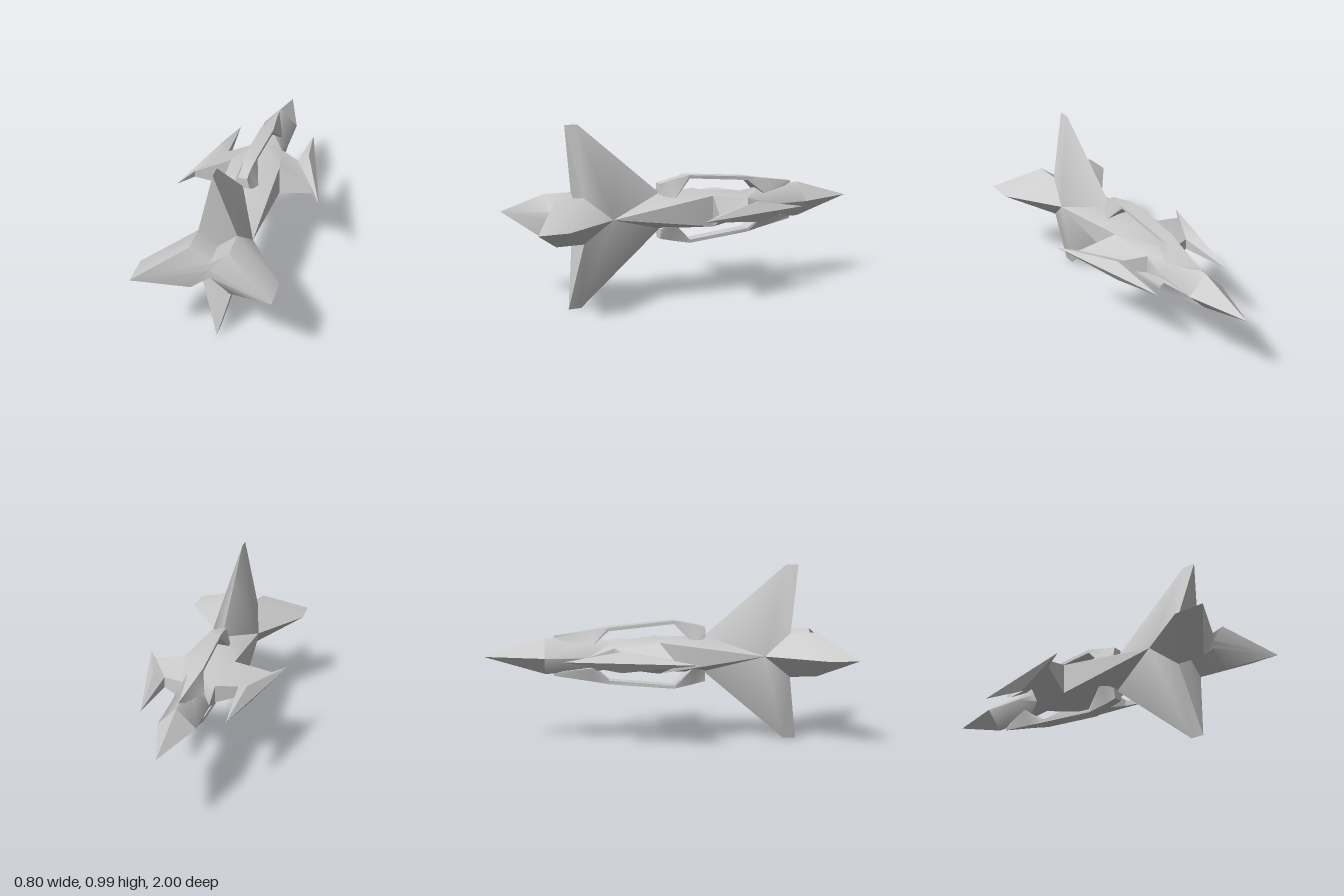
import * as THREE from 'three';
import { toCreasedNormals } from 'three/addons/utils/BufferGeometryUtils.js';

const MID = 0.493; // height of the ship's axis

// Mirrors a quarter shell (x >= 0, y >= 0) into all four quarters
function fourWay(faces, crease) {
  const out = [];
  const a = new THREE.Vector3(), b = new THREE.Vector3();
  for (const sx of [1, -1]) for (const sy of [1, -1]) {
    for (const face of faces) {
      const pts = face.map(p => new THREE.Vector3(p[0] * sx, p[1] * sy, p[2]));
      if (sx * sy < 0) pts.reverse();
      for (let i = 1; i < pts.length - 1; i++) {
        const tri = [pts[0], pts[i], pts[i + 1]];
        a.subVectors(tri[1], tri[0]);
        b.subVectors(tri[2], tri[0]);
        if (a.cross(b).length() < 1e-7) continue; // skip collapsed faces
        for (const p of tri) out.push(p.x, p.y + MID, p.z);
      }
    }
  }
  const g = new THREE.BufferGeometry();
  g.setAttribute('position', new THREE.Float32BufferAttribute(out, 3));
  return toCreasedNormals(g, crease);
}

// Joins successive rows of points into quads
function loft(rows) {
  const faces = [];
  for (let i = 0; i < rows.length - 1; i++) {
    for (let k = 0; k < rows[i].length - 1; k++) {
      faces.push([rows[i][k], rows[i + 1][k], rows[i + 1][k + 1], rows[i][k + 1]]);
    }
  }
  return faces;
}

export function createModel() {
  const group = new THREE.Group();
  const hull = new THREE.MeshStandardMaterial({ color: 0xcccccc, side: THREE.DoubleSide });
  hull.name = 'hullGrey';
  const add = (name, faces, crease) => {
    const mesh = new THREE.Mesh(fourWay(faces, crease), hull);
    mesh.name = name;
    group.add(mesh);
  };

  // Fuselage: [z, ridge height, half width, side height]
  const ring = ([z, t, w, s]) => [[0, t, z], [w, s, z], [w, 0, z]];
  add('nose', loft([[-1, 0, 0, 0], [-0.67, 0.1, 0.1, 0]].map(ring)), 1.0);
  const bodyRows = [
    [-0.67, 0.1, 0.1, 0],
    [-0.43, 0.095, 0.1, 0.005],
    [-0.29, 0.075, 0.095, 0.05],
    [-0.05, 0.1, 0.14, 0.085],
    [0.21, 0.1, 0.14, 0.047],
  ].map(ring);
  const pinch = [0.14, 0, 0.53];
  const [ridge, side, mid] = bodyRows[4];
  add('fuselage', [...loft(bodyRows), [ridge, pinch, side], [side, pinch, mid]], 1.0);

  // Tail: crossed fins round an open engine block
  const bend = [0, 0.305, 0.45], tipF = [0, MID, 0.67], tipR = [0, MID, 0.74];
  const shF = [0.1, 0.123, 0.68], shR = [0.1, 0.123, 0.83];
  const valF = [0, 0.043, 0.68], valR = [0, 0.043, 0.83], core = [0, 0, 0.83];
  const sideF = [0.352, 0, 0.84], sideR = [0.352, 0, 1];
  add('verticalFins', [
    [ridge, bend, pinch], [bend, tipF, pinch], [tipF, shF, pinch],
    [tipF, tipR, shF], [tipR, valF, shF],
  ], 1.0);
  add('sideFins', [
    [pinch, shF, sideF], [shF, shR, sideR, sideF],
    [shF, valF, valR, shR], [shR, valR, core, sideR],
  ], 1.0);

  // Wings: thick roots tapering out to the blades
  const [, rootF, rootFm] = bodyRows[2], [, rootR, rootRm] = bodyRows[3];
  const inF = [0.205, 0.03, -0.23], inFm = [0.205, 0, -0.23];
  const inR = [0.335, 0.018, 0.01], inRm = [0.335, 0, 0.01];
  add('wings', [
    [rootF, rootR, inR, inF], [rootR, rootRm, inRm, inR], [rootF, inF, inFm, rootFm],
  ], 0.7);

  // Wingtip blades
  const front = [0.225, 0, -0.57], top = [0.26, 0.057, -0.26], rear = [0.4, 0, 0.13];
  add('wingBlades', [
    [front, top, rear], [front, inF, top], [top, inF, inR], [top, inR, rear],
    [front, inFm, inF], [inR, inRm, rear],
  ], 0.5);

  // Rails above and below: [z, top half width, top y, foot half width, foot y]
  const railRows = [
    [-0.62, 0, 0.112, 0, 0.09],
    [-0.41, 0.025, 0.143, 0.07, 0.062],
    [-0.32, 0.038, 0.158, 0.038, 0.138],
    [0.04, 0.036, 0.19, 0.036, 0.172],
    [0.15, 0.025, 0.168, 0.07, 0.062],
    [0.215, 0.025, 0.152, 0.038, 0.095],
  ].map(([z, a, t, b, f]) => [[0, t, z], [a, t, z], [b, f, z], [0, f, z]]);
  const [c0, c1, c2, c3] = railRows[5];
  add('rails', [...loft(railRows), [c0, c3, c2, c1]], 0.6);

  return group;
}
